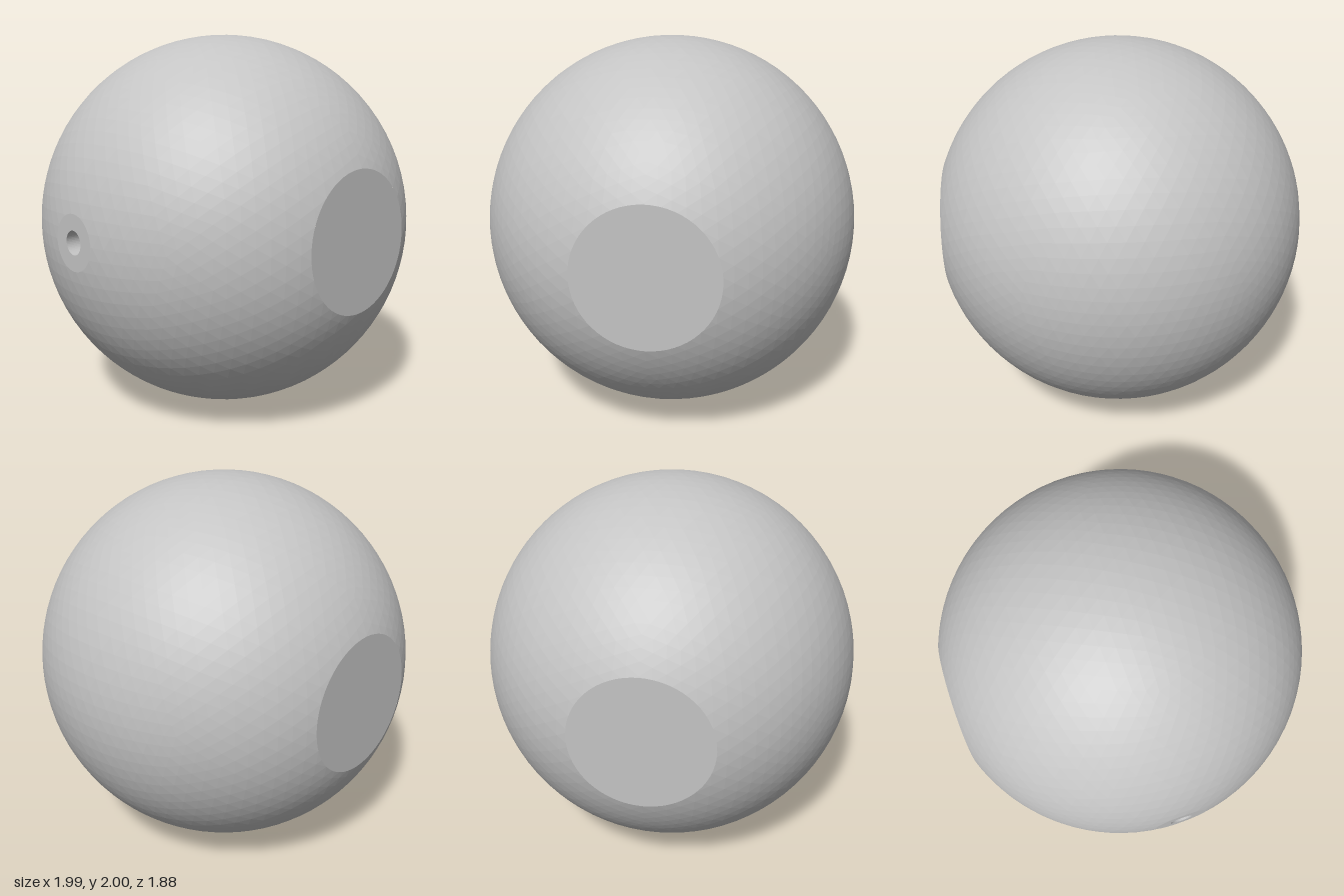
import * as THREE from 'three';

const FLAT_Z = 0.935, FLAT_X = 0.99;
const RIM_Z = Math.sqrt(1 - FLAT_Z ** 2), RIM_X = Math.sqrt(1 - FLAT_X ** 2);

// Keep the part of a convex polygon where dot(normal, p) <= limit
function clip(poly, normal, limit) {
  const out = [];
  poly.forEach((a, i) => {
    const b = poly[(i + 1) % poly.length];
    const da = normal.dot(a) - limit, db = normal.dot(b) - limit;
    if (da <= 0) out.push(a);
    if ((da < 0 && db > 0) || (da > 0 && db < 0)) out.push(a.clone().lerp(b, da / (da - db)));
  });
  return out;
}

// Faceted ball with the front, back and right ends sliced off
function slicedBall() {
  const source = new THREE.IcosahedronGeometry(1, 15).getAttribute('position');
  const cuts = [
    [new THREE.Vector3(0, 0, 1), FLAT_Z],
    [new THREE.Vector3(0, 0, -1), FLAT_Z],
    [new THREE.Vector3(-1, 0, 0), FLAT_X],
  ];
  const points = [];
  for (let i = 0; i < source.count; i += 3) {
    let poly = [0, 1, 2].map((k) => new THREE.Vector3().fromBufferAttribute(source, i + k));
    for (const [normal, limit] of cuts) poly = clip(poly, normal, limit);
    for (let k = 1; k < poly.length - 1; k++) points.push(poly[0], poly[k], poly[k + 1]);
  }
  const geometry = new THREE.BufferGeometry().setFromPoints(points);
  geometry.computeVertexNormals();
  return geometry;
}

export function createModel() {
  const model = new THREE.Group();
  model.name = 'slicedBall';
  const gray = new THREE.MeshStandardMaterial({ color: 0xc4c4c4 });
  gray.name = 'lightGray';

  const add = (name, geometry, x = 0, y = 0, z = 0) => {
    const mesh = new THREE.Mesh(geometry, gray);
    mesh.name = name;
    mesh.position.set(x, y, z);
    model.add(mesh);
    return mesh;
  };

  add('ball', slicedBall());

  // Flat round faces at the front and back
  add('frontFlat', new THREE.CircleGeometry(RIM_Z, 64), 0, 0, FLAT_Z);
  add('backFlat', new THREE.CircleGeometry(RIM_Z, 64), 0, 0, -FLAT_Z).rotation.y = Math.PI;

  // Small flat on the right side with a blind hole in it
  const profile = [[RIM_X, FLAT_X], [0.06, FLAT_X], [0.06, 0.8], [0, 0.8]];
  const hole = new THREE.LatheGeometry(profile.map(([r, h]) => new THREE.Vector2(r, h)), 48).toNonIndexed();
  hole.computeVertexNormals();
  add('sideHole', hole).rotation.z = Math.PI / 2;

  // Two thin round pads just off the back face
  for (const side of [-1, 1]) {
    const pad = add(side < 0 ? 'rightPad' : 'leftPad', new THREE.CircleGeometry(0.09, 48),
      side * 0.226, 0.06, -FLAT_Z - 0.012);
    pad.rotation.y = Math.PI;
  }

  model.position.set(-0.005, 1, 0.006);
  const root = new THREE.Group();
  root.name = 'model';
  root.add(model);
  return root;
}
